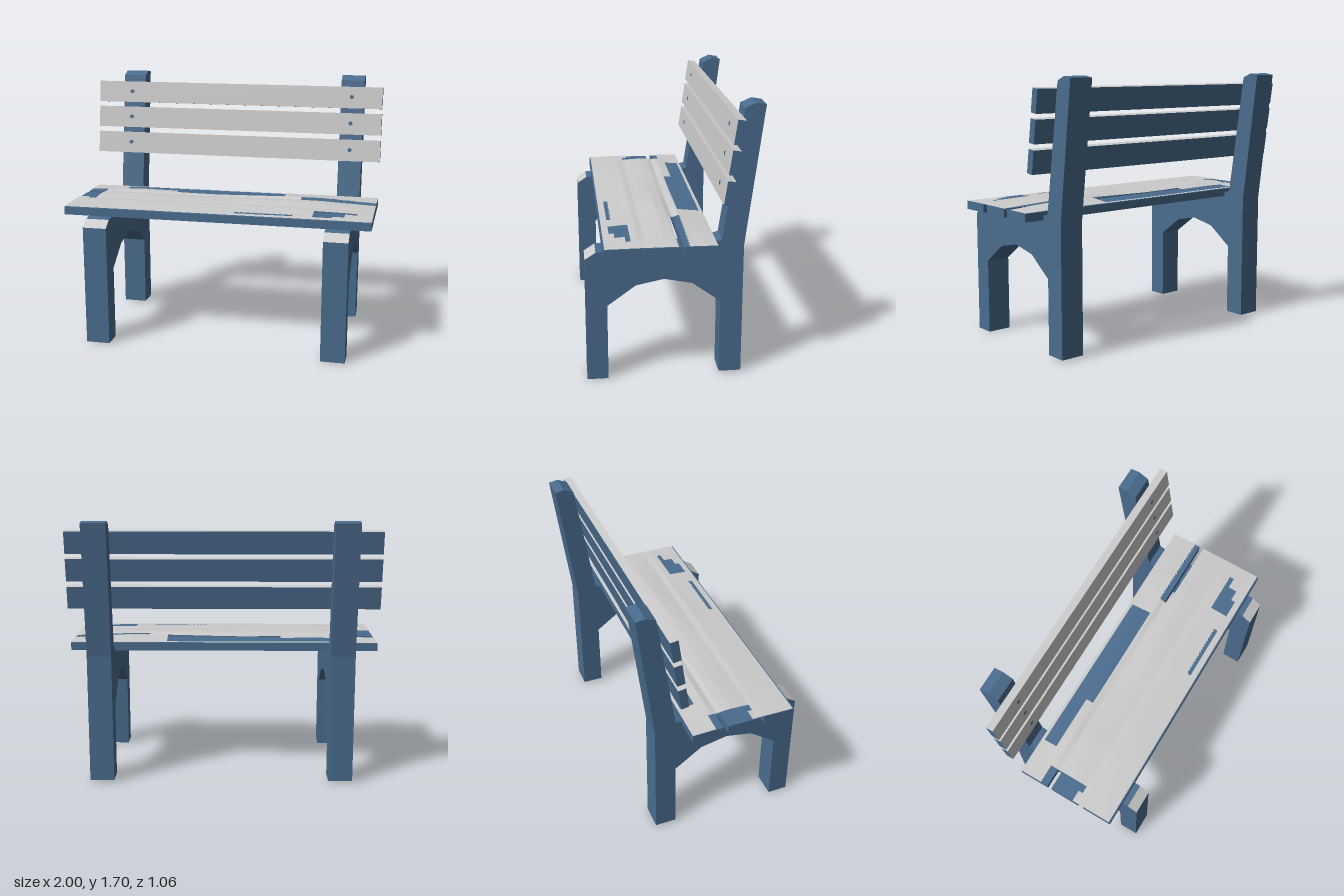
import * as THREE from 'three';

const blue = new THREE.MeshStandardMaterial({ color: 0x4a6c8e, flatShading: true });
const grey = new THREE.MeshStandardMaterial({ color: 0xcccccc, flatShading: true });
const sheetGrey = new THREE.MeshStandardMaterial({ color: 0xcccccc, side: THREE.DoubleSide });

const LEG_W = 0.156;
const LEG_X = [-0.76, 0.793];

// Side outline of one leg frame as [z, y]
const OUTLINE = [
  [0.53, 0.001], [0.53, 0.785], [0.465, 0.828], [0.33, 0.84], [-0.24, 0.84], [-0.24, 0.867],
  [-0.285, 0.88], [-0.402, 1.672], [-0.465, 1.7], [-0.525, 1.69], [-0.418, 0.84], [-0.418, 0.011],
  [-0.282, 0.011], [-0.282, 0.485], [-0.11, 0.61], [0.06, 0.645], [0.23, 0.61], [0.402, 0.485], [0.402, 0.001],
];

function add(parent, name, geometry, material, x = 0, y = 0, z = 0) {
  const mesh = new THREE.Mesh(geometry, material);
  mesh.name = name;
  mesh.position.set(x, y, z);
  parent.add(mesh);
  return mesh;
}

function legFrame(x) {
  const frame = new THREE.Group();
  frame.name = 'legFrame';
  frame.position.x = x;
  const shape = new THREE.Shape(OUTLINE.map(([z, y]) => new THREE.Vector2(z, y)));
  const geo = new THREE.ExtrudeGeometry(shape, { depth: LEG_W, bevelEnabled: false });
  geo.translate(0, 0, -LEG_W / 2).rotateY(-Math.PI / 2);
  add(frame, 'frameSide', geo, blue);
  // bare front corner and soles
  const corner = add(frame, 'bareCorner', new THREE.PlaneGeometry(LEG_W, 0.078), grey, 0, 0.8075, 0.4985);
  corner.rotation.x = -Math.atan2(0.065, 0.043);
  for (const [y, z, depth] of [[0, 0.466, 0.128], [0.01, -0.35, 0.136]]) {
    add(frame, 'sole', new THREE.PlaneGeometry(LEG_W, depth), grey, 0, y, z).rotation.x = Math.PI / 2;
  }
  return frame;
}

// Smooth interpolation through [position, value] stations
function sample(stations, t) {
  for (let i = 1; i < stations.length; i++) {
    const [a, va] = stations[i - 1], [b, vb] = stations[i];
    if (t <= b) return THREE.MathUtils.lerp(va, vb, THREE.MathUtils.clamp((t - a) / (b - a), 0, 1));
  }
  return stations[stations.length - 1][1];
}

// Bare patches in the seat cover: [x0, x1, z0, z1]
const PATCHES = [
  [-0.75, -0.375, -0.22, -0.13], [-0.375, 0.375, -0.22, -0.08], [0.5, 1, -0.075, -0.01],
  [-1, -0.875, -0.09, 0.15], [-0.925, -0.875, 0.15, 0.18], [0.125, 0.5, 0.355, 0.38],
  [0.625, 0.75, 0.26, 0.38], [0.75, 0.825, 0.26, 0.35], [0.825, 0.9, 0.26, 0.29],
];

// Thin undulating cover lying over all three planks
function seatCover() {
  const across = [[-0.24, 0.1], [-0.16, 0.4], [-0.07, 0.75], [-0.03, 0.3], [0, 0.75], [0.06, 1],
    [0.12, 0.85], [0.18, 0.55], [0.22, 0.75], [0.32, 0.4], [0.42, 0.05]];
  const along = [[-1, 0.25], [-0.6, 0.8], [-0.1, 0.6], [0.3, 0.85], [0.65, 1], [0.85, 0.6], [1, 0.1]];
  const geo = new THREE.PlaneGeometry(2, 0.66, 80, 66);
  geo.rotateX(-Math.PI / 2).translate(0, 0, 0.09);
  const pos = geo.attributes.position;
  for (let i = 0; i < pos.count; i++) {
    const x = pos.getX(i), z = pos.getZ(i);
    const ripple = 0.85 + 0.15 * Math.sin(5 * x + 9 * z);
    pos.setY(i, 0.894 + 0.031 * sample(across, z) * sample(along, x) * ripple);
  }
  const kept = [];
  const index = geo.index.array;
  for (let i = 0; i < index.length; i += 3) {
    const tri = [index[i], index[i + 1], index[i + 2]];
    const cx = tri.reduce((s, v) => s + pos.getX(v), 0) / 3;
    const cz = tri.reduce((s, v) => s + pos.getZ(v), 0) / 3;
    if (!PATCHES.some(([a, b, c, d]) => cx > a && cx < b && cz > c && cz < d)) kept.push(...tri);
  }
  geo.setIndex(kept);
  geo.computeVertexNormals();
  return geo;
}

export function createModel() {
  const bench = new THREE.Group();
  bench.name = 'bench';

  for (const x of LEG_X) bench.add(legFrame(x));

  // Seat planks and their worn cover
  for (const z of [0.328, 0.09, -0.14]) {
    add(bench, 'seatPlank', new THREE.BoxGeometry(2, 0.052, 0.2), blue, 0, 0.866, z);
  }
  add(bench, 'seatCover', seatCover(), sheetGrey);

  // Leaning back slats: grey front and top, with two bolt heads each
  const slatFaces = [blue, blue, grey, blue, grey, blue];
  for (const [y, z] of [[1.205, -0.302], [1.384, -0.327], [1.56, -0.351]]) {
    const slat = new THREE.Group();
    slat.name = 'backSlat';
    slat.position.set(0, y, z);
    slat.rotation.x = -0.145;
    add(slat, 'slatBoard', new THREE.BoxGeometry(2, 0.145, 0.05), slatFaces);
    for (const x of LEG_X) {
      const bolt = new THREE.CylinderGeometry(0.014, 0.014, 0.006, 10).rotateX(Math.PI / 2);
      add(slat, 'bolt', bolt, blue, x, 0.003, 0.024);
    }
    bench.add(slat);
  }
  return bench;
}
